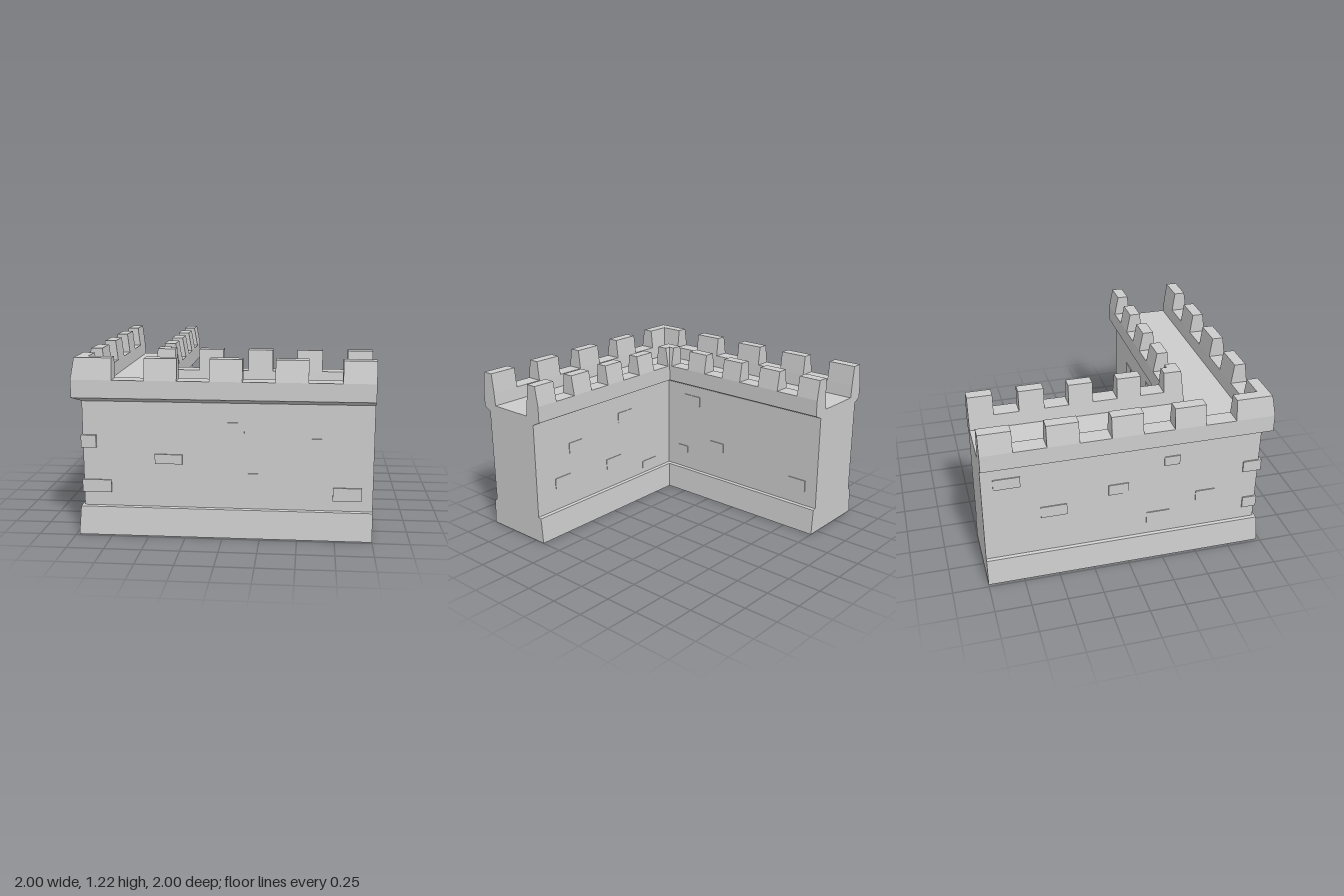
import * as THREE from 'three';

const stone = new THREE.MeshStandardMaterial({ color: 0xcccccc, flatShading: true, side: THREE.DoubleSide });

// Stations along the L: each maps a depth d (0 = outer face) to [x, z]
const front = x => d => [x, 1 - d];
const left = z => d => [d - 1, z];
const corner = d => [d - 1, 1 - d];

// Sweep a [d, y] profile through stations, mitred at the corner; the underside stays open
function sweep(profile, stations, caps = true) {
  const pos = [];
  const at = (s, [d, y]) => { const [x, z] = s(d); return [x, y, z]; };
  const tri = (a, b, c) => pos.push(...a, ...b, ...c);
  for (let s = 0; s < stations.length - 1; s++) {
    for (let i = 0; i < profile.length - 1; i++) {
      const a = at(stations[s], profile[i]), b = at(stations[s + 1], profile[i]);
      const c = at(stations[s + 1], profile[i + 1]), e = at(stations[s], profile[i + 1]);
      tri(a, b, c);
      tri(a, c, e);
    }
  }
  if (caps) {
    const outline = profile.slice().reverse();
    const faces = THREE.ShapeUtils.triangulateShape(outline.map(p => new THREE.Vector2(...p)), []);
    const first = stations[0], last = stations[stations.length - 1];
    for (const [a, b, c] of faces) {
      tri(at(last, outline[a]), at(last, outline[b]), at(last, outline[c]));
      tri(at(first, outline[a]), at(first, outline[c]), at(first, outline[b]));
    }
  }
  const geo = new THREE.BufferGeometry();
  geo.setAttribute('position', new THREE.Float32BufferAttribute(pos, 3));
  geo.computeVertexNormals();
  return geo;
}

export function createModel() {
  const model = new THREE.Group();
  model.name = 'cornerWall';
  const add = (name, geo, parent = model) => {
    const mesh = new THREE.Mesh(geo, stone);
    mesh.name = name;
    parent.add(mesh);
  };
  const group = name => {
    const g = new THREE.Group();
    g.name = name;
    model.add(g);
    return g;
  };

  // Wall body: flared base, overhanging parapets and sunken walkway
  const wall = [
    [0.02, 0], [0.035, 0.195], [0.057, 0.2], [0.057, 0.92], [0, 0.95], [0, 1.07],
    [0.12, 1.07], [0.127, 0.975], [0.475, 0.975], [0.485, 1.07],
    [0.605, 1.07], [0.605, 0.95], [0.54, 0.92], [0.54, 0.2], [0.565, 0.195], [0.58, 0],
  ];
  const path = [left(-1), corner, front(1)];
  add('wall', sweep(wall, path));

  // Hollow underside: rim, inner skirt and ceiling
  add('underside', sweep([[0.58, 0], [0.565, 0.195], [0.045, 0.195], [0.045, 0], [0.02, 0]], path, false));

  // Battlements, mirrored onto both wings
  const battlements = (name, profile, cornerEnd, spans) => {
    const g = group(name);
    add('cornerMerlon', sweep(profile, [left(-cornerEnd), corner, front(cornerEnd)]), g);
    for (const [a, b] of spans) {
      add('frontMerlon', sweep(profile, [front(a), front(b)]), g);
      add('sideMerlon', sweep(profile, [left(-b), left(-a)]), g);
    }
  };
  battlements('outerBattlements',
    [[0, 1.07], [0.023, 1.215], [0.103, 1.215], [0.12, 1.07]], -0.725,
    [[-0.51, -0.295], [-0.08, 0.135], [0.35, 0.565], [0.785, 1]]);
  battlements('innerBattlements',
    [[0.485, 1.07], [0.5, 1.215], [0.58, 1.215], [0.605, 1.07]], -0.375,
    [[-0.205, -0.035], [0.14, 0.31], [0.48, 0.655], [0.828, 1]]);

  // Raised stones
  const stones = group('raisedStones');
  const block = (x0, x1, y0, y1, z0, z1) => {
    const geo = new THREE.BoxGeometry(x1 - x0, y1 - y0, z1 - z0);
    geo.translate((x0 + x1) / 2, (y0 + y1) / 2, (z0 + z1) / 2);
    add('raisedStone', geo, stones);
  };

  // Corner stones
  block(-0.953, -0.85, 0.605, 0.69, 0.83, 0.962);
  block(-0.953, -0.755, 0.295, 0.38, 0.85, 0.954);

  // Front wing, outer face: x0, x1, y0, y1
  for (const [a, b, c, d] of [
    [-0.455, -0.27, 0.5, 0.565], [0.735, 0.925, 0.27, 0.36],
  ]) block(a, b, c, d, 0.9, 0.954);

  // Front wing, stones showing slightly on the outer face
  for (const [a, b, c, d] of [
    [0.01, 0.145, 0.72, 0.79], [0.555, 0.67, 0.63, 0.69], [0.12, 0.285, 0.37, 0.445],
  ]) block(a, b, c, d, 0.9, 0.949);

  // Front wing, inner face
  for (const [a, b, c, d] of [
    [0.54, 0.67, 0.61, 0.69], [-0.005, 0.145, 0.71, 0.79], [0.67, 0.82, 0.37, 0.45],
    [0.12, 0.285, 0.36, 0.44], [-0.28, -0.125, 0.24, 0.3],
  ]) block(a, b, c, d, 0.455, 0.5);

  // Side wing, outer face: z0, z1, y0, y1
  for (const [a, b, c, d] of [
    [-0.92, -0.74, 0.76, 0.84], [-0.61, -0.43, 0.48, 0.565], [-0.14, 0, 0.58, 0.66],
    [0.135, 0.3, 0.295, 0.38], [0.25, 0.36, 0.755, 0.825], [0.49, 0.63, 0.42, 0.5],
  ]) block(-0.95, -0.9, c, d, a, b);

  // Side wing, inner face
  for (const [a, b, c, d] of [
    [0.13, 0.285, 0.76, 0.84], [-0.12, 0.01, 0.425, 0.5],
    [0.25, 0.35, 0.335, 0.39], [-0.9, -0.75, 0.31, 0.4],
  ]) block(-0.5, -0.453, c, d, a, b);

  return model;
}
